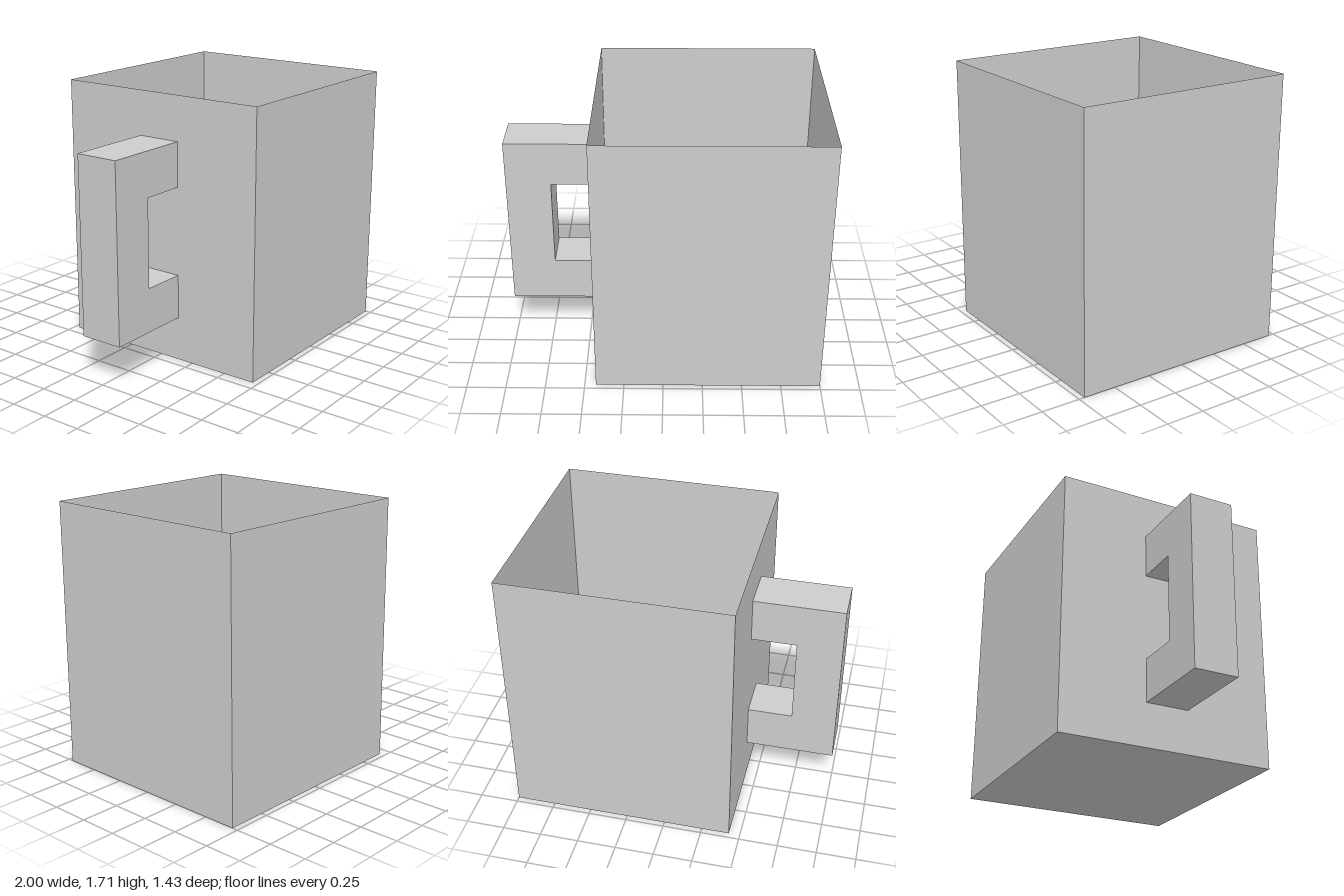
import * as THREE from 'three';

// Everything sits on a grid of one seventh of a unit
const U = 1 / 7;

export function createModel() {
  const group = new THREE.Group();
  const grey = new THREE.MeshStandardMaterial({ color: 0xcccccc, side: THREE.DoubleSide });
  grey.name = 'light grey';

  // Square cup body: thin walls and floor, open at the top
  const box = new THREE.BoxGeometry(10 * U, 12 * U, 10 * U);
  const index = Array.from(box.index.array);
  index.splice(12, 6); // drop the top face
  box.setIndex(index);
  box.clearGroups();
  const body = new THREE.Mesh(box, grey);
  body.name = 'cupBody';
  body.position.set(2 * U, 6 * U, 0);
  group.add(body);

  // C-shaped square handle, meeting the -x wall
  const outline = [[-3, 2], [-3, 4], [-5, 4], [-5, 8], [-3, 8], [-3, 10], [-7, 10], [-7, 2]];
  const shape = new THREE.Shape(outline.map(([x, y]) => new THREE.Vector2(x * U, y * U)));
  const handle = new THREE.Mesh(
    new THREE.ExtrudeGeometry(shape, { depth: 2 * U, bevelEnabled: false }),
    grey
  );
  handle.name = 'handle';
  handle.position.z = -U;
  group.add(handle);

  return group;
}
